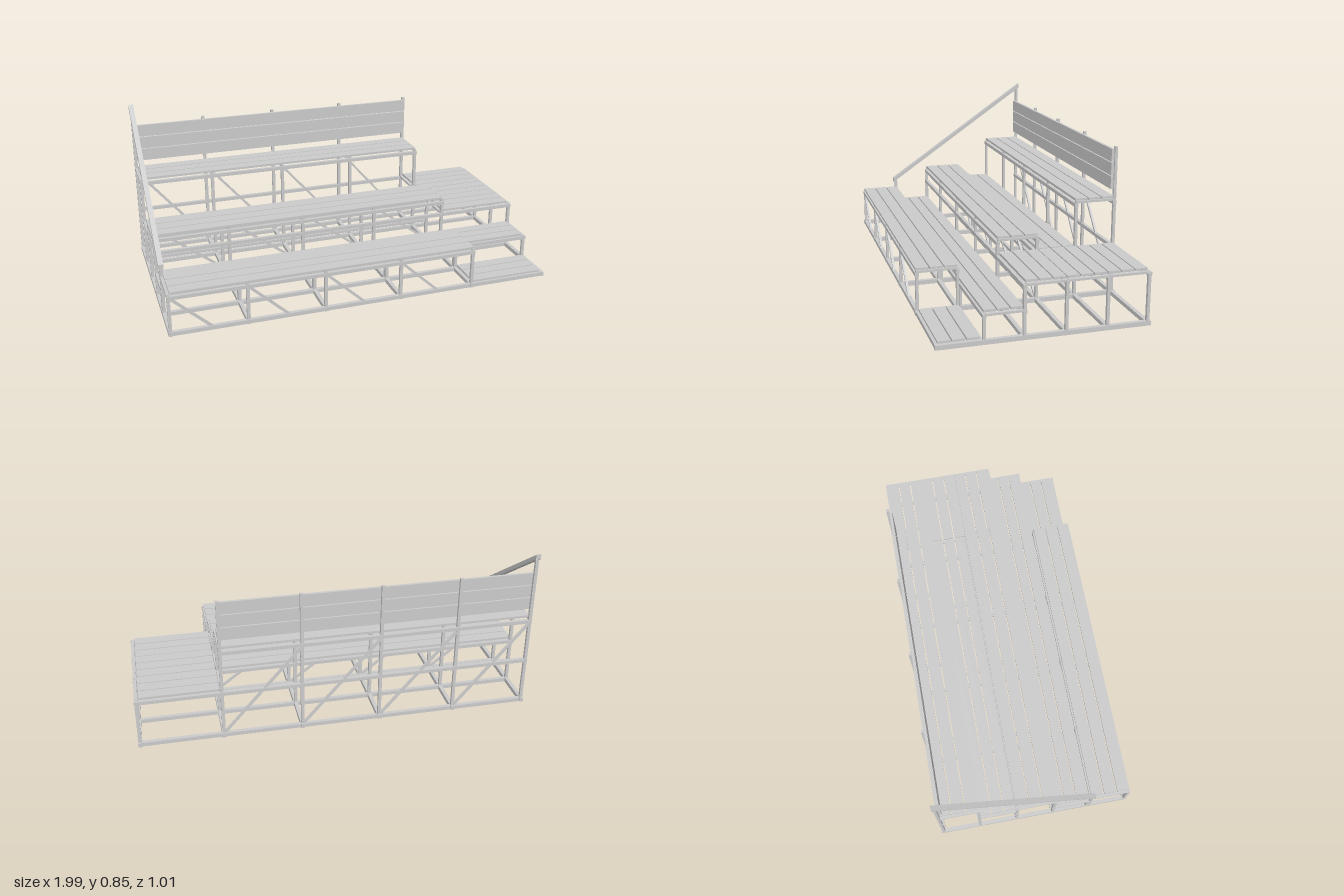
import * as THREE from 'three';

export function createModel() {
  const model = new THREE.Group();
  const grey = new THREE.MeshStandardMaterial({ color: 0xcccccc });
  const T = 0.016; // tube thickness

  // Box given by its lower and upper bounds on each axis
  function box(name, x0, x1, y0, y1, z0, z1) {
    const m = new THREE.Mesh(new THREE.BoxGeometry(x1 - x0, y1 - y0, z1 - z0), grey);
    m.name = name;
    m.position.set((x0 + x1) / 2, (y0 + y1) / 2, (z0 + z1) / 2);
    model.add(m);
    return m;
  }
  const post = (name, x, z, top, bottom = 0.01, w = 0.014) =>
    box(name, x - T / 2, x + T / 2, bottom, top, z - w / 2, z + w / 2);
  const rail = (name, x0, x1, y, z, t = 0.018) =>
    box(name, x0, x1, y - t / 2, y + t / 2, z - t / 2, z + t / 2);

  // Three planks on cross beams, spanning z0 (rear) to z1 (front)
  function planks(name, x0, x1, top, z0, z1, beams) {
    const gap = 0.006, w = (z1 - z0 - 2 * gap) / 3;
    for (let i = 0; i < 3; i++) {
      const z = z0 + i * (w + gap);
      box(name + 'Plank', x0, x1, top - 0.012, top, z, z + w);
    }
    for (const x of beams) box(name + 'CrossBeam', x - T / 2, x + T / 2, top - 0.022, top - 0.011, z0, z1);
  }

  const left = -0.982, mid = 0.575, right = 0.985;
  const frames = [left, -0.605, -0.215, 0.18, mid];
  const all = [...frames, right];
  const zs = { front: 0.493, seat1Rear: 0.298, stepFront: 0.284, seat2Front: 0.1, seat2Rear: -0.096, seat3Front: -0.293, back: -0.49 };

  // Base frame
  for (const z of [zs.front, zs.seat1Rear, zs.seat2Front, zs.seat2Rear, zs.seat3Front, zs.back])
    box('baseRail', -0.99, 0.995, 0.001, 0.021, z - 0.01, z + 0.01);
  for (const x of all) box('baseCrossBeam', x - 0.01, x + 0.01, 0, 0.022, -0.505, 0.505);

  // Posts of the seating frames
  for (const x of frames) {
    post('frontSeatPost', x, zs.front, 0.205);
    post('frontSeatRearPost', x, zs.seat1Rear, 0.205, 0.01, 0.012);
    post('stepPost', x, zs.stepFront, 0.135);
    post('middleSeatPost', x, zs.seat2Front, 0.325);
    post('middleSeatRearPost', x, zs.seat2Rear, 0.325);
    post('rearSeatPost', x, zs.seat3Front, 0.485);
    post('backrestPost', x, zs.back, x === left ? 0.815 : 0.75);
  }

  // Posts of the side platform
  post('stepPost', right, zs.stepFront, 0.135);
  for (const z of [zs.seat2Front, zs.seat2Rear, zs.seat3Front, zs.back]) post('platformPost', right, z, 0.25);

  // Long rails
  const seatEnd = mid + 0.01, from = -0.99, end = 0.995;
  for (const z of [zs.front, zs.seat1Rear]) rail('frontSeatRail', from, seatEnd, 0.199, z);
  for (const z of [zs.stepFront, zs.seat2Front]) rail('stepRail', from, end, 0.131, z);
  for (const z of [zs.seat2Front, zs.seat2Rear]) rail('middleSeatRail', from, seatEnd, 0.316, z);
  for (const z of [zs.seat3Front, zs.back]) rail('rearSeatRail', from, seatEnd, 0.474, z);
  for (const z of [zs.seat2Front, zs.seat2Rear, zs.seat3Front, zs.back]) rail('platformRail', from, end, 0.248, z);
  for (const z of [zs.seat2Rear, zs.seat3Front]) rail('lowRail', from, seatEnd, 0.131, z - 0.004, 0.014);

  // Seats, footboards and side platform
  const x0 = -0.975, x1 = 0.575, p0 = 0.586, p1 = 0.972;
  planks('frontSeat', x0, x1, 0.229, 0.297, 0.498, frames);
  planks('middleSeat', x0, x1, 0.348, -0.1, 0.102, frames);
  planks('rearSeat', x0, x1, 0.505, -0.486, -0.29, frames);
  planks('step', x0, p1, 0.153, 0.103, 0.283, all);
  planks('footboard', x0, x1, 0.272, -0.288, -0.102, frames);
  for (const z of [-0.486, -0.29, -0.096]) planks('platform', p0, p1, 0.272, z, z + 0.19, [mid, right]);
  planks('floorStep', p0, p1, 0.031, 0.298, 0.489, [mid, right]);

  // Backrest boards
  for (let i = 0; i < 3; i++) {
    const y = 0.54 + i * 0.0675;
    box('backrestBoard', x0, x1, y, y + 0.0625, -0.483, -0.469);
  }

  // Diagonal bracing in every bay
  function brace(xa, ya, xb, yb, z) {
    const m = new THREE.Mesh(new THREE.BoxGeometry(Math.hypot(xb - xa, yb - ya), 0.012, 0.012), grey);
    m.name = 'diagonalBrace';
    m.position.set((xa + xb) / 2, (ya + yb) / 2, z);
    m.rotation.z = Math.atan2(yb - ya, xb - xa);
    model.add(m);
  }
  for (let i = 0; i < 4; i++) {
    const a = frames[i], b = frames[i + 1];
    brace(a, 0.465, b, 0.015, zs.back);
    brace(a, 0.31, b, 0.015, zs.seat2Rear);
    brace(a, 0.2, a + 0.2, 0.015, zs.front);
  }

  // Sloping handrail on the right end, with its short front post
  post('handrailFrontPost', left, zs.seat1Rear, 0.28);
  const side = new THREE.Shape([[0.313, 0.26], [0.313, 0.285], [-0.503, 0.846], [-0.503, 0.821]]
    .map(([z, y]) => new THREE.Vector2(-z, y)));
  const handrail = new THREE.Mesh(new THREE.ExtrudeGeometry(side, { depth: 0.025, bevelEnabled: false }), grey);
  handrail.name = 'handrail';
  handrail.rotation.y = Math.PI / 2;
  handrail.position.x = -0.995;
  model.add(handrail);

  return model;
}
